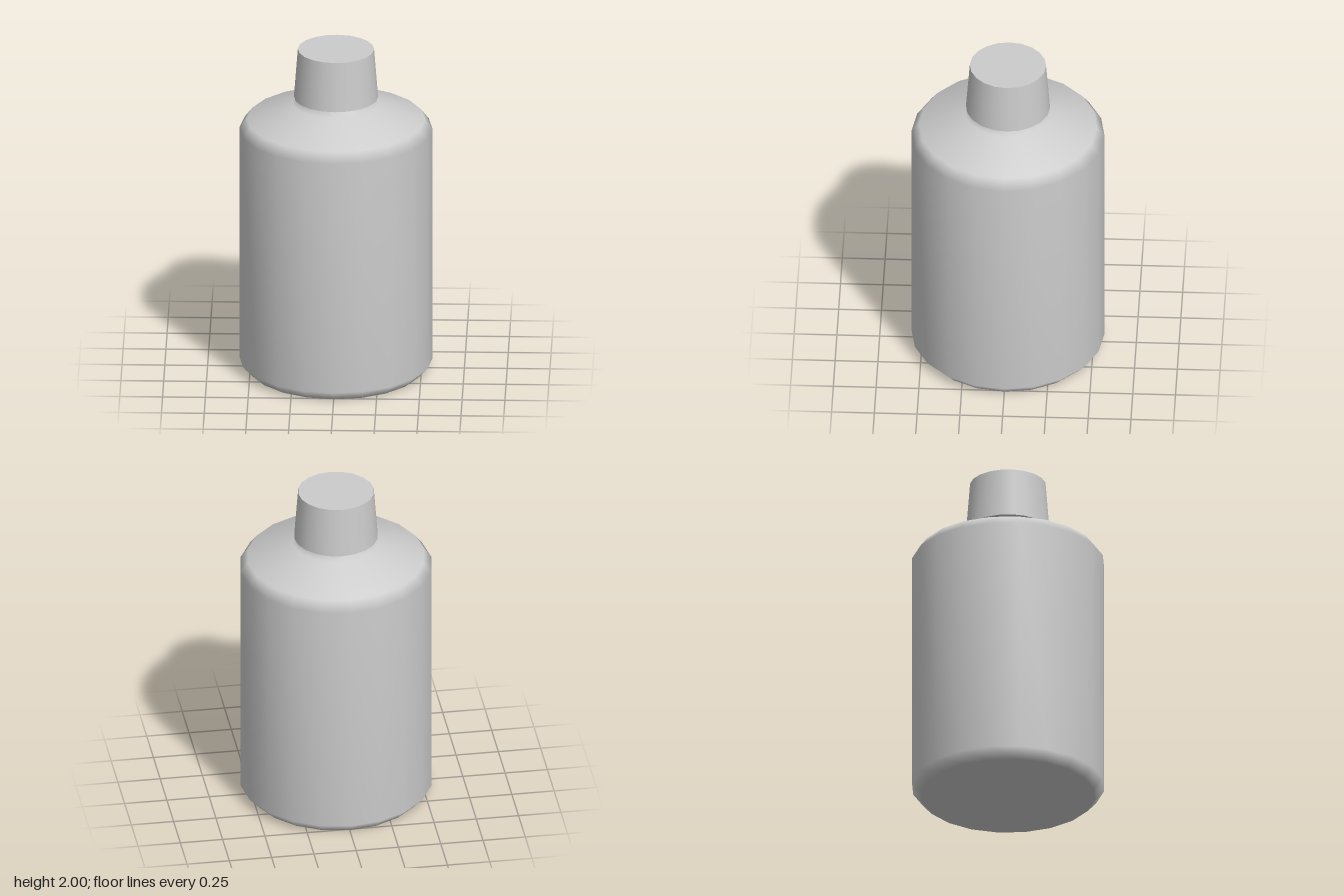
import * as THREE from 'three';
import { mergeVertices } from 'three/addons/utils/BufferGeometryUtils.js';

const SIDES = 20;

export function createModel() {
  const group = new THREE.Group();
  const material = new THREE.MeshStandardMaterial({ color: 0xcccccc });

  // Bottle: base, chamfer, wall, rounded shoulder and neck, closed inside the cap
  const profile = [
    [0, 0], [0.51, 0], [0.565, 0.06], [0.565, 1.5], [0.52, 1.56],
    [0.25, 1.665], [0.22, 1.695], [0.21, 1.75], [0, 1.75],
  ].map(([r, y]) => new THREE.Vector2(r, y));
  const lathe = new THREE.LatheGeometry(profile, SIDES);
  lathe.deleteAttribute('uv');
  lathe.deleteAttribute('normal');
  // Welded, area-weighted normals keep the wall and base flat and blend over the chamfers
  const bottleGeometry = mergeVertices(lathe);
  bottleGeometry.computeVertexNormals();
  const bottle = new THREE.Mesh(bottleGeometry, material);
  bottle.name = 'bottleBody';
  group.add(bottle);

  // Tapered cap
  const cap = new THREE.Mesh(new THREE.CylinderGeometry(0.223, 0.246, 0.3, SIDES), material);
  cap.name = 'cap';
  cap.position.y = 1.85;
  group.add(cap);

  return group;
}
